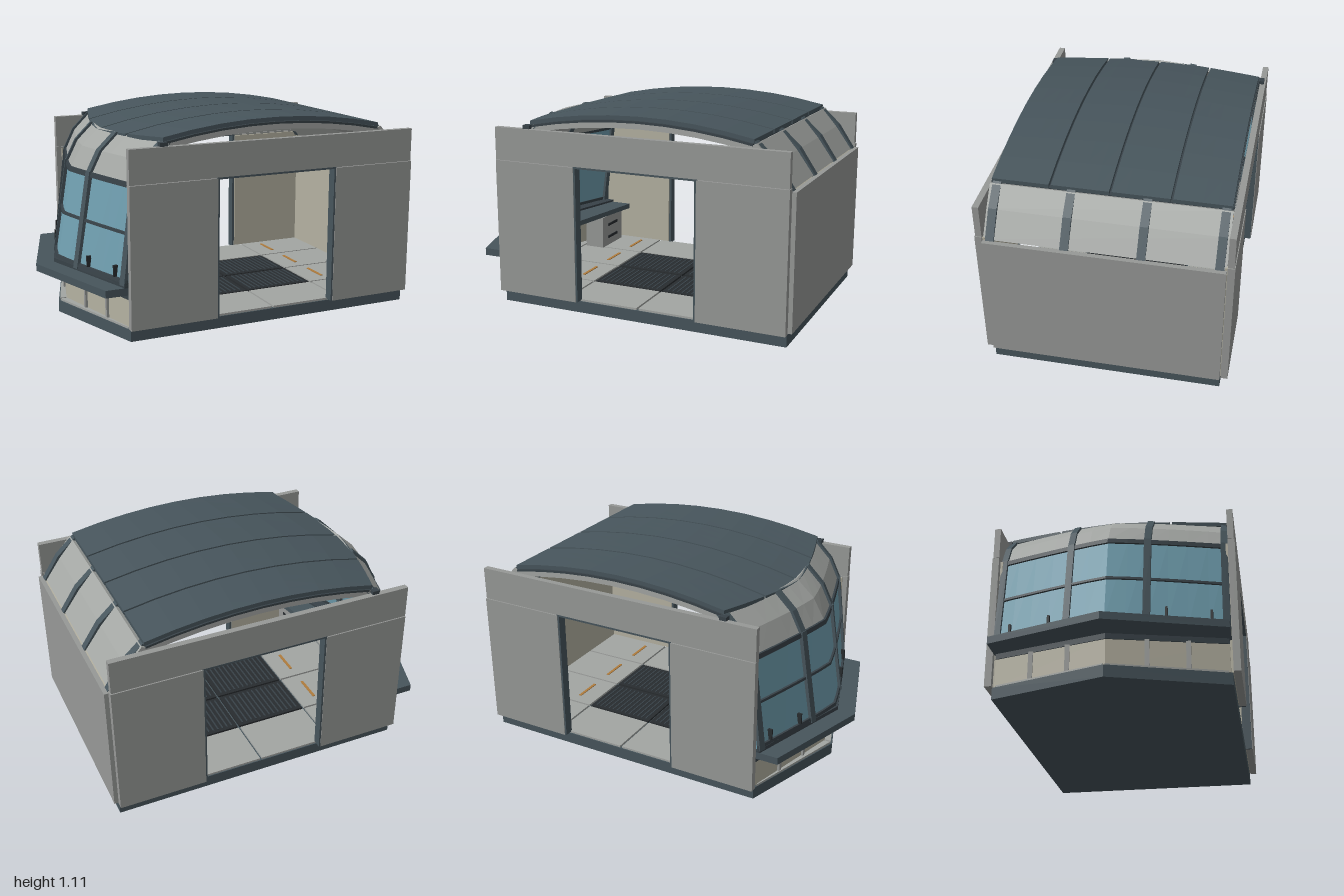
import * as THREE from 'three';

const mat = (name, color) => Object.assign(new THREE.MeshStandardMaterial({ color }), { name });

export function createModel() {
  const model = new THREE.Group();
  model.name = 'observationRoom';
  const slate = mat('slate', 0x47555c), grey = mat('wallGrey', 0x979997), pale = mat('paleGrey', 0xa3a6a3),
    glass = mat('glassBlue', 0x709fb0), beige = mat('beige', 0xb5b2a2), ochre = mat('ochre', 0xb07c3c),
    black = mat('charcoal', 0x282c2f), trim = mat('darkTrim', 0x384248);

  const add = (name, geo, m) => {
    const mesh = new THREE.Mesh(geo, m);
    mesh.name = name;
    model.add(mesh);
    return mesh;
  };
  // box given by its limits
  const box = (name, m, x0, x1, y0, y1, z0, z1) => {
    const g = new THREE.BoxGeometry(x1 - x0, y1 - y0, z1 - z0);
    g.translate((x0 + x1) / 2, (y0 + y1) / 2, (z0 + z1) / 2);
    return add(name, g, m);
  };
  // flat outline in plan, raised from y0 to y1
  const plan = (name, m, pts, y0, y1) => {
    const s = new THREE.Shape(pts.map(([x, z]) => new THREE.Vector2(x, -z)));
    const g = new THREE.ExtrudeGeometry(s, { depth: y1 - y0, bevelEnabled: false });
    g.rotateX(-Math.PI / 2).translate(0, y0, 0);
    return add(name, g, m);
  };
  // thick sheet: an x-y profile that may change along z, thickened by (dx, dy)
  const slab = (name, m, zs, profile, dx, dy) => {
    const pos = [];
    const quad = (a, b, c, d) => pos.push(...a, ...b, ...c, ...a, ...c, ...d);
    const out = zs.map(z => profile(z).map(([x, y]) => [x, y, z]));
    const inn = out.map(r => r.map(([x, y, z]) => [x + dx, y + dy, z]));
    const n = out[0].length - 1, e = zs.length - 1;
    for (let j = 0; j < e; j++) {
      const k = j + 1;
      for (let i = 0; i < n; i++) {
        quad(out[j][i], out[k][i], out[k][i + 1], out[j][i + 1]);
        quad(inn[j][i], inn[j][i + 1], inn[k][i + 1], inn[k][i]);
      }
      quad(out[j][0], inn[j][0], inn[k][0], out[k][0]);
      quad(out[j][n], out[k][n], inn[k][n], inn[j][n]);
    }
    for (let i = 0; i < n; i++) {
      quad(out[e][i], inn[e][i], inn[e][i + 1], out[e][i + 1]);
      quad(out[0][i], out[0][i + 1], inn[0][i + 1], inn[0][i]);
    }
    const g = new THREE.BufferGeometry();
    g.setAttribute('position', new THREE.Float32BufferAttribute(pos, 3));
    g.computeVertexNormals();
    return add(name, g, m);
  };
  const range = (a, b, n) => Array.from({ length: n + 1 }, (_, i) => a + (b - a) * i / n);
  const W = 0.61;
  const vee = (x0, depth, z, p = 1) => x0 + depth * Math.pow(Math.abs(z) / W, p);

  // base and floor tiles
  plan('base', slate, [[0.97, W], [0.97, -W], [-0.68, -W], [-0.88, 0], [-0.68, W]], 0, 0.064);
  const cols = [-0.68, -0.28, 0.14, 0.55, 0.97], rows = [-0.61, -0.306, 0, 0.306, 0.61], gap = 0.006;
  for (let c = 0; c < 4; c++) for (let r = 0; r < 4; r++) {
    const grate = (c === 1 || c === 2) && (r === 1 || r === 2);
    const x0 = cols[c] + gap, x1 = cols[c + 1] - gap, z0 = rows[r] + gap, z1 = rows[r + 1] - gap;
    box(grate ? 'floorGrating' : 'floorTile', grate ? black : pale, x0, x1, 0.064, 0.075, z0, z1);
    if (grate) for (let i = 1; i < 14; i++) {
      const x = x0 + (x1 - x0) * i / 14;
      box('gratingBar', trim, x - 0.004, x + 0.004, 0.075, 0.078, z0 + 0.02, z1 - 0.02);
    }
  }
  for (const s of [-1, 1])
    plan('frontFloor', pale, [[-0.685, s * 0.006], [-0.685, s * 0.59], [-0.87, s * 0.006]], 0.064, 0.075);
  for (const x of [-0.39, 0.67]) for (const z of [-0.46, -0.153, 0.153, 0.46])
    box('floorLight', ochre, x - 0.008, x + 0.008, 0.075, 0.079, z - 0.08, z + 0.08);

  // side walls with doorways
  for (const s of [-1, 1]) {
    const side = (name, m, x0, x1, y0, y1, a, b) =>
      box(name, m, x0, x1, y0, y1, Math.min(s * a, s * b), Math.max(s * a, s * b));
    side('sideWall', grey, -0.69, -0.21, 0.07, 0.818, 0.613, 0.65);
    side('sideWall', grey, 0.49, 0.975, 0.07, 0.818, 0.613, 0.65);
    side('wallBeam', grey, -0.69, 0.972, 0.82, 1, 0.613, 0.646);
    side('wallLining', beige, -0.66, -0.22, 0.075, 0.81, 0.6, 0.613);
    side('wallLining', beige, 0.5, 0.965, 0.075, 0.81, 0.6, 0.613);
    side('doorJamb', slate, -0.214, -0.2, 0.07, 0.82, 0.595, 0.647);
    side('doorJamb', slate, 0.48, 0.494, 0.07, 0.82, 0.595, 0.647);
    side('doorHead', slate, -0.214, 0.494, 0.812, 0.822, 0.595, 0.647);
    side('beamClip', trim, -0.52, -0.48, 0.98, 1.02, 0.6, 0.636);
  }

  // back wall and the sloping panels above it
  box('backWall', grey, 0.972, 0.997, 0.075, 0.8, -W, W);
  box('backLining', beige, 0.96, 0.972, 0.075, 0.79, -0.6, 0.6);
  const slope = () => [[0.79, 1.022], [0.875, 0.925], [0.965, 0.8]];
  slab('backSlope', pale, [-W, W], slope, -0.02, -0.01);
  for (const z of [-0.575, -0.19, 0.195, 0.575])
    slab('backRib', slate, [z - 0.022, z + 0.022], () => [[0.78, 1.03], [0.885, 0.935], [0.975, 0.8]], -0.03, -0.012);

  // arched roof of four panels
  const arc = x => 1.107 - 0.165 * (x - 0.14) ** 2;
  const roofEnd = z => vee(-0.63, 0.14, z, 1.4);
  const arch = (a, b, drop, n = 8) => range(a, b, n).map(x => [x, arc(x) - drop]);
  for (let r = 0; r < 4; r++) {
    const z0 = rows[r] + 0.006, z1 = rows[r + 1] - 0.006;
    slab('roofPanel', slate, range(z0, z1, 4), z => arch(roofEnd(z), 0.775, 0), 0, -0.022);
    slab('ceiling', trim, [z0 - 0.006, z1 + 0.006], () => arch(-0.48, 0.77, 0.024), 0, -0.012);
    for (const [a, b] of [[-0.42, -0.16], [0.42, 0.66]])
      slab('ceilingPanel', ochre, [z0 + 0.05, z1 - 0.05], () => arch(a, b, 0.035, 3), 0, -0.007);
    box('ceilingLamp', black, -0.03, 0.32, 1.045, 1.068, z0 + 0.06, z1 - 0.06);
  }
  for (const z of [-0.596, -0.306, 0, 0.306, 0.596])
    slab('ceilingArch', pale, [z - 0.012, z + 0.012], () => arch(-0.47, 0.79, 0.03), 0, -0.035);
  for (const [a, b] of [[-0.46, -0.29], [0.55, 0.68]])
    slab('crossBeam', trim, [-0.6, 0.6], () => arch(a, b, 0.045, 2), 0, -0.02);

  // bowed window front, with a sloping panel from its head to the roof
  const zs = range(-W, W, 12);
  const low = z => vee(-0.875, 0.18, z, 1.15), high = z => vee(-0.785, 0.155, z, 1.15);
  const onGlass = (z, y) => low(z) + (high(z) - low(z)) * (y - 0.31) / 0.5;
  const brow = z => [[high(z), 0.815], [(high(z) + roofEnd(z)) / 2 - 0.015, 0.925], [roofEnd(z) + 0.01, 1.018]];
  slab('windowGlass', glass, zs, z => [[low(z), 0.31], [high(z), 0.81]], 0.012, 0);
  slab('browPanel', pale, zs, brow, 0.02, -0.008);
  for (const [y, h, d] of [[0.3, 0.03, 0.03], [0.555, 0.014, 0.024], [0.79, 0.026, 0.03]])
    slab('windowRail', trim, zs, z => [[onGlass(z, y) - 0.012, y], [onGlass(z, y + h) - 0.012, y + h]], d, 0);
  for (const z of [-0.592, -0.203, 0.203, 0.592]) {
    const span = [z - 0.018, z + 0.018];
    slab('windowPost', slate, span, t => [[low(t) - 0.018, 0.3], [high(t) - 0.018, 0.82]], 0.045, 0);
    slab('browRib', slate, span, t => brow(t).map(([x, y]) => [x - 0.014, y + 0.004]), 0.04, -0.012);
  }
  for (const z of [-0.52, -0.3, 0.3, 0.52])
    box('windowHandle', black, low(z) - 0.012, low(z) + 0.012, 0.33, 0.39, z - 0.006, z + 0.006);

  // projecting ledge and the recessed apron beneath it
  plan('ledge', slate, [[-1, 0], [-0.81, W], [-0.62, W], [-0.78, 0], [-0.62, -W], [-0.81, -W]], 0.25, 0.29);
  plan('sill', trim, [[-0.9, 0], [-0.71, W], [-0.62, W], [-0.78, 0], [-0.62, -W], [-0.71, -W]], 0.289, 0.312);
  const vz = [-0.6, 0, 0.6];
  slab('apron', beige, vz, z => [[vee(-0.835, 0.16, z), 0.07], [vee(-0.835, 0.16, z), 0.222]], 0.02, 0);
  slab('apronBand', trim, vz, z => [[vee(-0.84, 0.16, z), 0.22], [vee(-0.84, 0.16, z), 0.252]], 0.04, 0);
  for (const z of [-0.4, -0.2, 0.2, 0.4])
    box('apronPost', grey, vee(-0.845, 0.16, z), vee(-0.81, 0.16, z), 0.07, 0.225, z - 0.012, z + 0.012);

  // desk and drawer units behind the windows
  plan('deskTop', slate, [[-0.79, 0], [-0.63, 0.59], [-0.5, 0.59], [-0.6, 0], [-0.5, -0.59], [-0.63, -0.59]], 0.27, 0.3);
  for (const z of [-0.42, 0.42]) {
    box('drawerUnit', grey, -0.66, -0.54, 0.075, 0.27, z - 0.13, z + 0.13);
    for (const y of [0.13, 0.21]) box('drawerPull', black, -0.54, -0.534, y - 0.008, y + 0.008, z - 0.06, z + 0.06);
  }
  return model;
}
